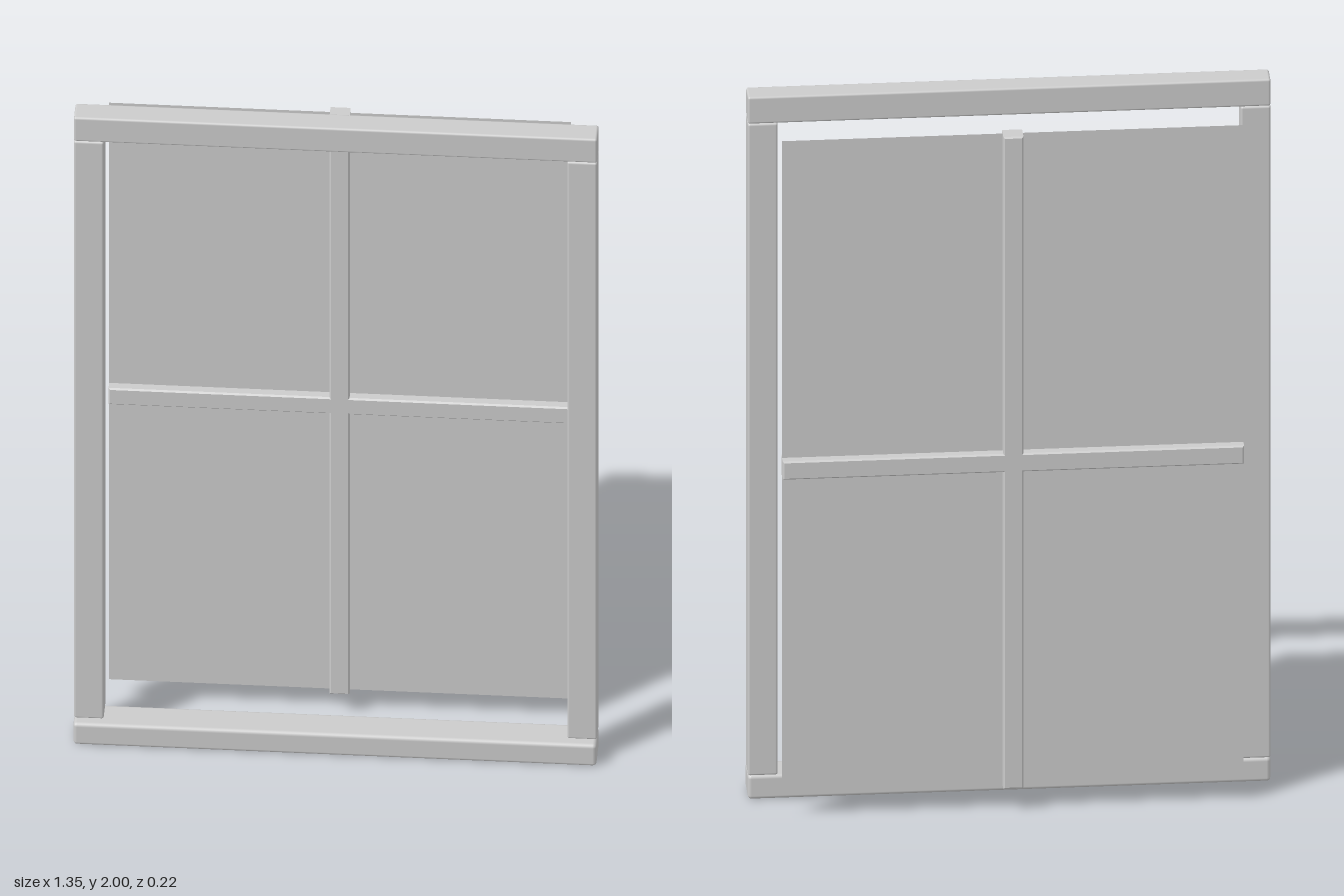
import * as THREE from 'three';
import { RoundedBoxGeometry } from 'three/addons/geometries/RoundedBoxGeometry.js';

export function createModel() {
  const model = new THREE.Group();
  const material = new THREE.MeshStandardMaterial({ color: 0xcccccc });

  const add = (name, geometry, mat = material) => {
    const mesh = new THREE.Mesh(geometry, mat);
    mesh.name = name;
    model.add(mesh);
    return mesh;
  };

  // Softly rounded beam given by its limits on each axis
  const beam = (name, [x0, x1], [y0, y1], [z0, z1], radius) =>
    add(name, new RoundedBoxGeometry(x1 - x0, y1 - y0, z1 - z0, 2, radius))
      .position.set((x0 + x1) / 2, (y0 + y1) / 2, (z0 + z1) / 2);

  // Outer frame: head rail, two posts and a deeper sill
  const halfW = 0.674, inner = 0.597, bottom = 0.068, top = 1.924;
  const depth = [0.021, 0.086];
  beam('headRail', [-halfW, halfW], [top, 2], depth, 0.006);
  beam('sill', [-halfW, halfW], [0, bottom], [0.021, 0.111], 0.01);
  beam('leftPost', [inner, halfW], [bottom, top], depth, 0.006);
  beam('rightPost', [-halfW, -inner], [bottom, top], depth, 0.006);

  // Crossed glazing bars as one bevelled outline, set behind the frame
  const bevel = 0.004;
  const a = 0.026 - bevel;
  const w = 0.595 - bevel;
  const h = (top - bottom) / 2 - bevel;
  const outline = [
    [a, a], [a, h], [-a, h], [-a, a], [-w, a], [-w, -a],
    [-a, -a], [-a, -h], [a, -h], [a, -a], [w, -a], [w, a],
  ].map(([x, y]) => new THREE.Vector2(x, y));
  const barDepth = 0.05;
  const cross = new THREE.ExtrudeGeometry(new THREE.Shape(outline), {
    depth: barDepth - 2 * bevel, bevelEnabled: true,
    bevelSize: bevel, bevelThickness: bevel, bevelSegments: 1,
  });
  cross.translate(0, 0, bevel - barDepth / 2);
  const midY = (top + bottom) / 2, paneZ = -0.086;
  add('glazingBars', cross).position.set(0, midY, paneZ);

  // Thin pane through the middle of the bars
  const thin = material.clone();
  thin.side = THREE.DoubleSide;
  add('pane', new THREE.PlaneGeometry(2 * 0.595, top - bottom), thin)
    .position.set(0, midY, paneZ);

  return model;
}
